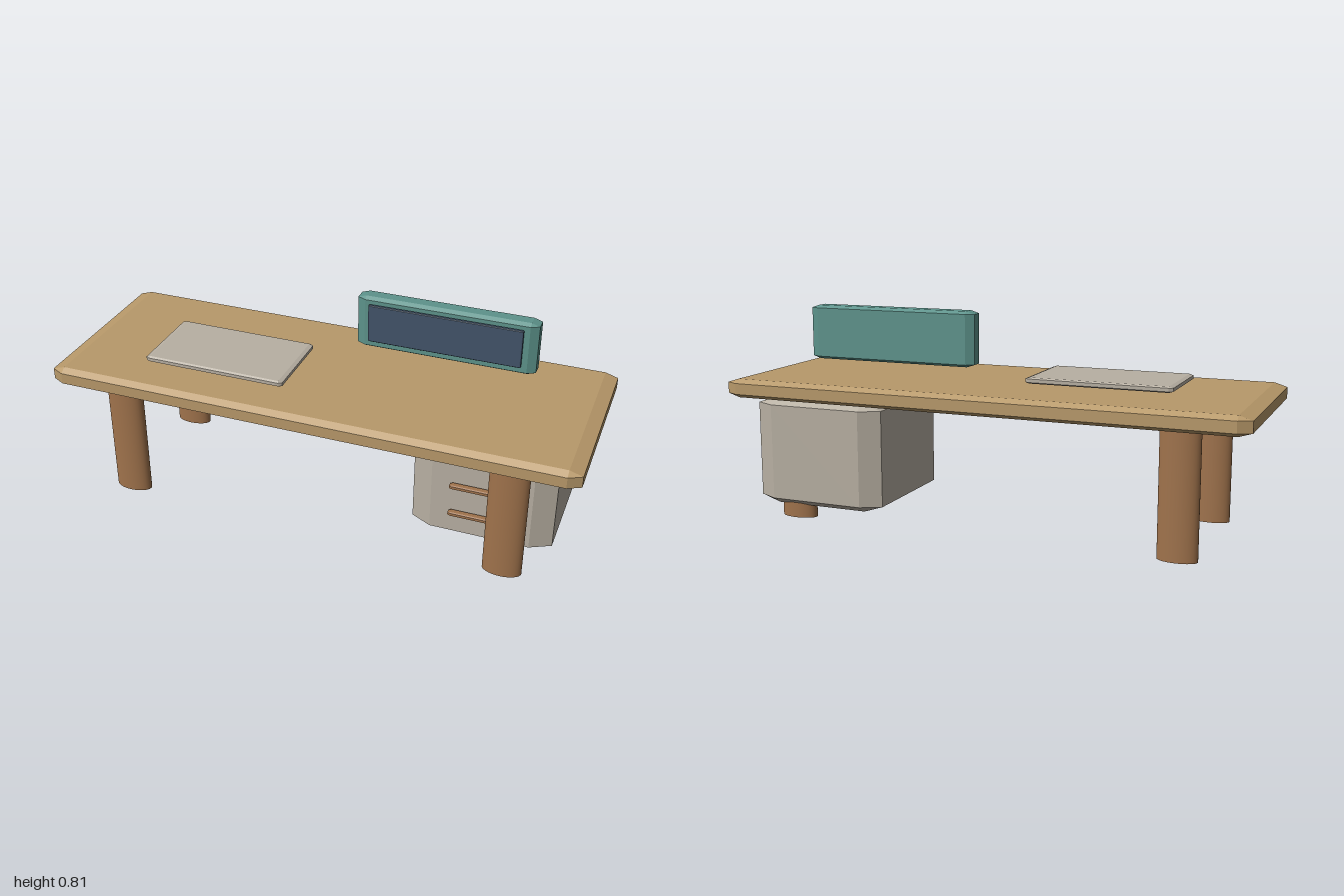
import * as THREE from 'three';
import { ConvexGeometry } from 'three/addons/geometries/ConvexGeometry.js';

const material = (name, color) => {
  const m = new THREE.MeshStandardMaterial({ color });
  m.name = name;
  return m;
};

// Box with every edge and corner cut off; bevel depth is given per axis
function bevelBox(name, mat, x, y, z, bevel) {
  const half = [x, y, z].map(([a, b]) => (b - a) / 2);
  const points = [];
  for (const sx of [-1, 1]) for (const sy of [-1, 1]) for (const sz of [-1, 1]) {
    const signs = [sx, sy, sz];
    for (let face = 0; face < 3; face++) {
      const p = signs.map((s, i) => s * (half[i] - (i === face ? 0 : bevel[i])));
      points.push(new THREE.Vector3(...p));
    }
  }
  const mesh = new THREE.Mesh(new ConvexGeometry(points), mat);
  mesh.position.set(...[x, y, z].map(([a, b]) => (a + b) / 2));
  mesh.name = name;
  return mesh;
}

export function createModel() {
  const lightWood = material('light wood', 0xb8996a);
  const darkWood = material('dark wood', 0xa0734c);
  const stone = material('warm grey', 0xb8b0a3);
  const teal = material('teal', 0x5d938b);
  const glass = material('screen blue', 0x42546a);

  const desk = new THREE.Group();
  desk.name = 'desk';

  // Table top
  desk.add(bevelBox('tableTop', lightWood, [-1, 1], [0.463, 0.535], [-0.367, 0.367], [0.048, 0.015, 0.025]));

  // Four oval legs
  const legGeometry = new THREE.CylinderGeometry(1, 1, 0.465, 32);
  for (const sx of [-1, 1]) for (const sz of [-1, 1]) {
    const leg = new THREE.Mesh(legGeometry, darkWood);
    leg.scale.set(0.0725, 1, 0.038);
    leg.position.set(sx * 0.746, 0.2325, sz * 0.264);
    leg.name = 'leg';
    desk.add(leg);
  }

  // Drawer cabinet with three handles in front
  desk.add(bevelBox('cabinet', stone, [0.375, 0.9], [0.05, 0.465], [-0.328, 0.2], [0.077, 0.025, 0.04]));
  for (const y of [0.17, 0.287, 0.404]) {
    desk.add(bevelBox('drawerHandle', darkWood, [0.525, 0.75], [y - 0.008, y + 0.008], [0.208, 0.235], [0.01, 0.003, 0.005]));
  }

  // Monitor and its screen
  desk.add(bevelBox('monitor', teal, [0.055, 0.733], [0.602, 0.808], [-0.169, -0.094], [0.031, 0.01, 0.016]));
  desk.add(bevelBox('screen', glass, [0.105, 0.682], [0.639, 0.786], [-0.089, -0.075], [0.004, 0.002, 0.002]));

  // Writing pad
  desk.add(bevelBox('pad', stone, [-0.675, -0.122], [0.547, 0.57], [-0.104, 0.214], [0.015, 0.005, 0.008]));

  return desk;
}
